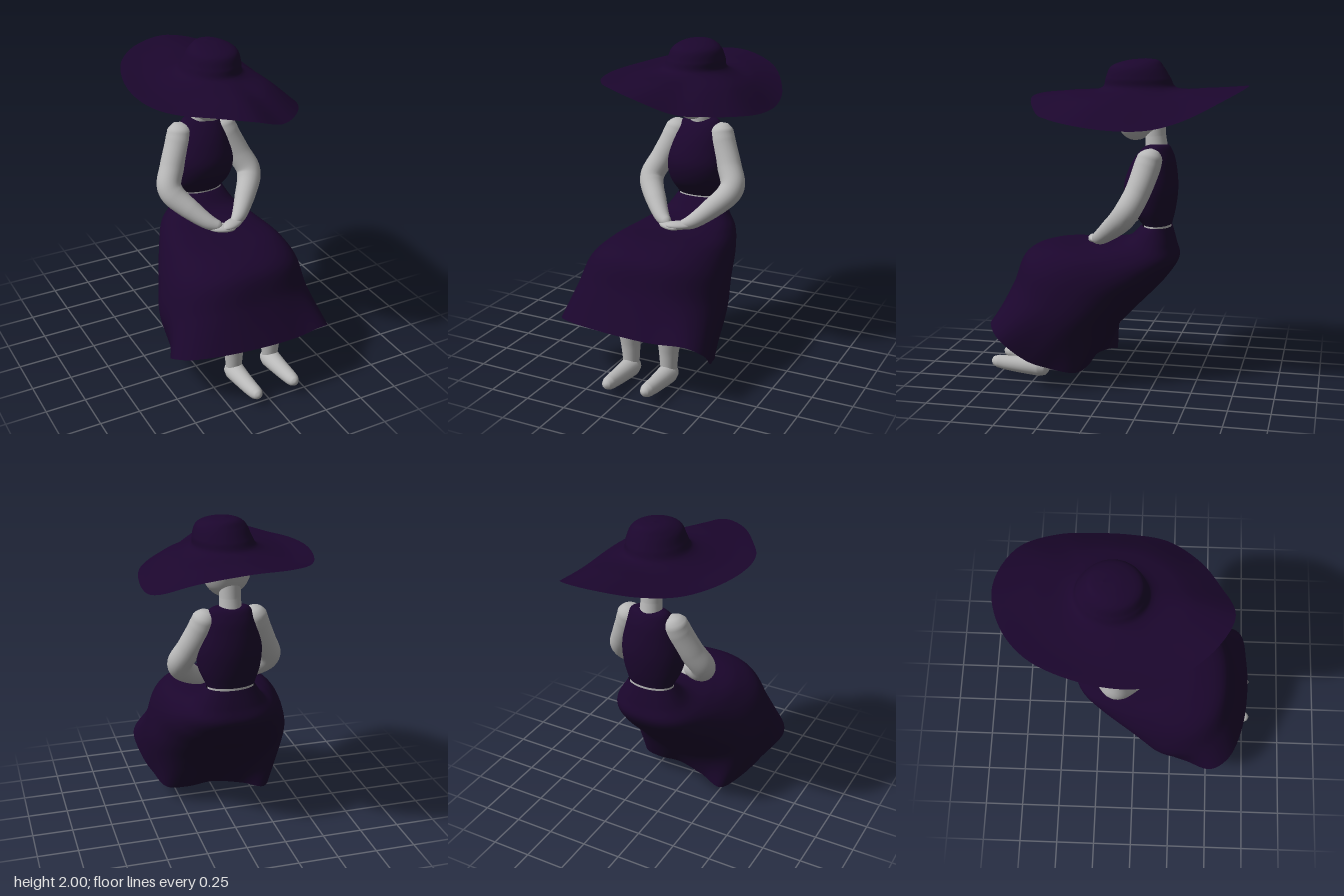
import * as THREE from 'three';
import { mergeVertices } from 'three/addons/utils/BufferGeometryUtils.js';

const purple = new THREE.MeshStandardMaterial({ color: 0x1b062d, side: THREE.DoubleSide });
purple.name = 'dark purple cloth';
const grey = new THREE.MeshStandardMaterial({ color: 0xb8b8b8 });
grey.name = 'pale grey skin';

const V = (x, y, z) => new THREE.Vector3(x, y, z);
const MID = 0.035; // the sitter's centre line

// Smooth surface through closed rings; each ring is a function of u (0 front, 0.25 left)
function loft(rings, nu = 64, nv = 48) {
  const pos = [], index = [];
  const columns = [];
  for (let i = 0; i < nu; i++) {
    columns.push(new THREE.CatmullRomCurve3(rings.map((ring) => ring(i / nu)), false, 'centripetal'));
  }
  for (let j = 0; j <= nv; j++) {
    for (const column of columns) pos.push(...column.getPoint(j / nv).toArray());
  }
  for (let j = 0; j < nv; j++) {
    for (let i = 0; i < nu; i++) {
      const a = j * nu + i, c = j * nu + (i + 1) % nu;
      index.push(a, a + nu, c, c, a + nu, c + nu);
    }
  }
  const g = new THREE.BufferGeometry();
  g.setAttribute('position', new THREE.Float32BufferAttribute(pos, 3));
  g.setIndex(index);
  g.computeVertexNormals();
  return g;
}

// Level oval ring
const oval = (y, cx, rx, cz, rz) => (u) => {
  const a = u * Math.PI * 2;
  return V(cx + rx * Math.sin(a), y, cz + rz * Math.cos(a));
};

// Tilted, slightly squared ring spanning a front and a back point given as [y, z]
const tilted = (front, back, cx, rx, power) => (u) => {
  const a = u * Math.PI * 2, s = Math.sin(a), c = Math.cos(a);
  const k = Math.pow(Math.abs(s) ** power + Math.abs(c) ** power, -1 / power);
  const t = (1 - c * k) / 2;
  return V(cx + rx * s * k,
    THREE.MathUtils.lerp(front[0], back[0], t),
    THREE.MathUtils.lerp(front[1], back[1], t));
};

// Free-form closed ring through points
const freeRing = (points) => {
  const curve = new THREE.CatmullRomCurve3(points.map((p) => V(...p)), true);
  return (u) => curve.getPoint(u);
};

// Tapered tube through [x, y, z, radius] stations
function limb(stations, segments = 64, sides = 24) {
  const curve = new THREE.CatmullRomCurve3(stations.map((s) => V(s[0], s[1], s[2])));
  const g = new THREE.TubeGeometry(curve, segments, 1, sides);
  const p = g.attributes.position, v = V(0, 0, 0);
  for (let i = 0; i < p.count; i++) {
    const u = Math.floor(i / (sides + 1)) / segments;
    const f = curve.getUtoTmapping(u) * (stations.length - 1);
    const k = Math.min(Math.floor(f), stations.length - 2);
    const r = THREE.MathUtils.lerp(stations[k][3], stations[k + 1][3], f - k);
    const c = curve.getPointAt(u);
    v.fromBufferAttribute(p, i).sub(c).multiplyScalar(r).add(c);
    p.setXYZ(i, v.x, v.y, v.z);
  }
  g.deleteAttribute('uv');
  g.deleteAttribute('normal');
  const welded = mergeVertices(g, 1e-5);
  welded.computeVertexNormals();
  return welded;
}

export function createModel() {
  const model = new THREE.Group();
  const add = (name, geometry, material) => {
    const mesh = new THREE.Mesh(geometry, material);
    mesh.name = name;
    model.add(mesh);
    return mesh;
  };

  // Hat: rounded crown flowing into a wide, drooping brim
  const crownBase = oval(1.83, 0.043, 0.192, -0.135, 0.222);
  const rim = freeRing([
    [-0.02, 1.76, 0.555], [0.2, 1.672, 0.47], [0.35, 1.652, 0.36], [0.485, 1.63, 0.17],
    [0.53, 1.61, -0.05], [0.53, 1.615, -0.27], [0.49, 1.665, -0.46], [0.34, 1.775, -0.68],
    [0.07, 1.84, -0.79], [-0.16, 1.83, -0.735], [-0.325, 1.805, -0.59], [-0.43, 1.785, -0.35],
    [-0.475, 1.775, -0.07], [-0.445, 1.768, 0.145], [-0.365, 1.768, 0.29], [-0.215, 1.783, 0.46],
  ]);
  const midBrim = (drop) => (u) => {
    const p = crownBase(u).lerp(rim(u), 0.5);
    p.y += 0.022 * Math.sin(u * Math.PI * 2) + 0.004 * Math.cos(u * Math.PI * 2) - drop;
    return p;
  };
  add('hat', loft([
    oval(2.0, 0.05, 0.001, -0.175, 0.001),
    oval(1.988, 0.055, 0.085, -0.157, 0.095),
    oval(1.95, 0.06, 0.145, -0.125, 0.16),
    oval(1.885, 0.056, 0.172, -0.13, 0.195),
    crownBase, midBrim(0), rim,
  ], 96, 72), purple);
  add('brimUnderside', loft([
    rim, midBrim(0.012), oval(1.812, 0.043, 0.18, -0.135, 0.21), oval(1.82, 0.04, 0.1, -0.14, 0.12),
  ], 96, 30), purple);

  // Head with a tapering chin, and neck
  add('head', loft([
    oval(1.93, MID, 0.001, -0.15, 0.001),
    oval(1.915, MID, 0.06, -0.15, 0.07),
    oval(1.865, MID, 0.12, -0.152, 0.14),
    oval(1.78, MID, 0.156, -0.155, 0.182),
    oval(1.7, MID, 0.152, -0.15, 0.175),
    oval(1.6, MID, 0.122, -0.138, 0.138),
    oval(1.545, MID, 0.08, -0.118, 0.085),
    oval(1.517, MID, 0.038, -0.112, 0.04),
    oval(1.508, MID, 0.001, -0.11, 0.001),
  ], 48, 48), grey);
  add('neck', limb([[0.035, 1.44, -0.245, 0.07], [0.035, 1.54, -0.235, 0.063], [0.035, 1.66, -0.23, 0.063]]), grey);

  // Sleeveless bodice
  add('bodice', loft([
    oval(1.49, 0.04, 0.001, -0.25, 0.001),
    oval(1.485, 0.04, 0.11, -0.25, 0.06),
    oval(1.43, 0.038, 0.145, -0.237, 0.108),
    oval(1.34, MID, 0.175, -0.22, 0.145),
    oval(1.22, MID, 0.2, -0.209, 0.164),
    oval(1.1, MID, 0.187, -0.22, 0.14),
    oval(1.003, MID, 0.147, -0.25, 0.088),
  ]), purple);
  add('waist', loft([oval(1.04, MID, 0.142, -0.25, 0.082), oval(0.95, MID, 0.142, -0.25, 0.082)], 48, 2), grey);

  // Long skirt draped over the lap, open at the hem
  const hem = freeRing([
    [0, 0.4, 0.755], [0.2, 0.395, 0.748], [0.39, 0.395, 0.715], [0.47, 0.33, 0.64],
    [0.44, 0.2, 0.48], [0.4, 0.15, 0.36], [0.34, 0.11, 0.2], [0.2, 0.12, 0.15],
    [0.05, 0.14, 0.14], [-0.15, 0.12, 0.1], [-0.29, 0.09, 0.07], [-0.38, 0.13, 0.2],
    [-0.46, 0.22, 0.36], [-0.537, 0.33, 0.52], [-0.465, 0.37, 0.635], [-0.265, 0.395, 0.72],
  ]);
  add('skirt', loft([
    tilted([0.995, -0.16], [0.99, -0.34], 0.035, 0.15, 2),
    tilted([0.91, -0.06], [0.88, -0.365], 0.03, 0.21, 2.3),
    tilted([0.875, 0.18], [0.79, -0.38], 0.02, 0.285, 2.5),
    tilted([0.865, 0.42], [0.66, -0.3], 0.01, 0.36, 2.4),
    tilted([0.8, 0.575], [0.5, -0.15], -0.01, 0.425, 2.3),
    tilted([0.62, 0.65], [0.355, -0.015], -0.022, 0.463, 2.4),
    hem,
  ], 96, 64), purple);

  for (const [side, s] of [['left', 1], ['right', -1]]) {
    const x = (d) => MID + s * d;

    // Arm bent so that the hands meet on the lap
    add(side + 'Arm', limb([
      [x(0.14), 1.477, -0.236, 0], [x(0.143), 1.462, -0.235, 0.047], [x(0.148), 1.43, -0.23, 0.074],
      [x(0.163), 1.37, -0.215, 0.081], [x(0.232), 1.22, -0.168, 0.076], [x(0.277), 1.12, -0.12, 0.076],
      [x(0.265), 1.07, -0.085, 0.075], [x(0.19), 0.99, 0.0, 0.064],
      [x(0.1), 0.918, 0.09, 0.045], [x(0.05), 0.9, 0.125, 0.03], [x(0.03), 0.895, 0.135, 0],
    ]), grey);
    const hand = add(side + 'Hand', new THREE.SphereGeometry(1, 32, 24), grey);
    hand.position.set(x(0.035), 0.892 + s * 0.006, 0.13);
    hand.scale.set(0.085, 0.026, 0.045);
    hand.rotation.y = s * 0.45;

    // Seated leg from hip over the knee to the ankle
    add(side + 'Leg', limb([
      [x(0.1), 0.75, -0.2, 0.1], [x(0.12), 0.73, 0.15, 0.1], [x(0.135), 0.69, 0.42, 0.09],
      [x(0.135), 0.57, 0.475, 0.09], [x(0.135), 0.38, 0.47, 0.083], [x(0.13), 0.22, 0.467, 0.06],
      [x(0.128), 0.08, 0.465, 0.048],
    ]), grey);

    // Foot, toes lifted slightly
    const lift = s * 0.006;
    add(side + 'Foot', limb([
      [x(0.128), 0.071, 0.413, 0], [x(0.128), 0.071, 0.418, 0.03], [x(0.128), 0.071, 0.435, 0.052],
      [x(0.128), 0.071, 0.48, 0.062], [x(0.128), 0.073, 0.59, 0.053], [x(0.128), 0.079, 0.69, 0.046],
      [x(0.127), 0.085, 0.75, 0.04], [x(0.127), 0.089, 0.782, 0.026], [x(0.127), 0.09, 0.795, 0],
    ].map(([px, py, pz, r]) => [px, py + lift, pz, r])), grey);
  }
  return model;
}
